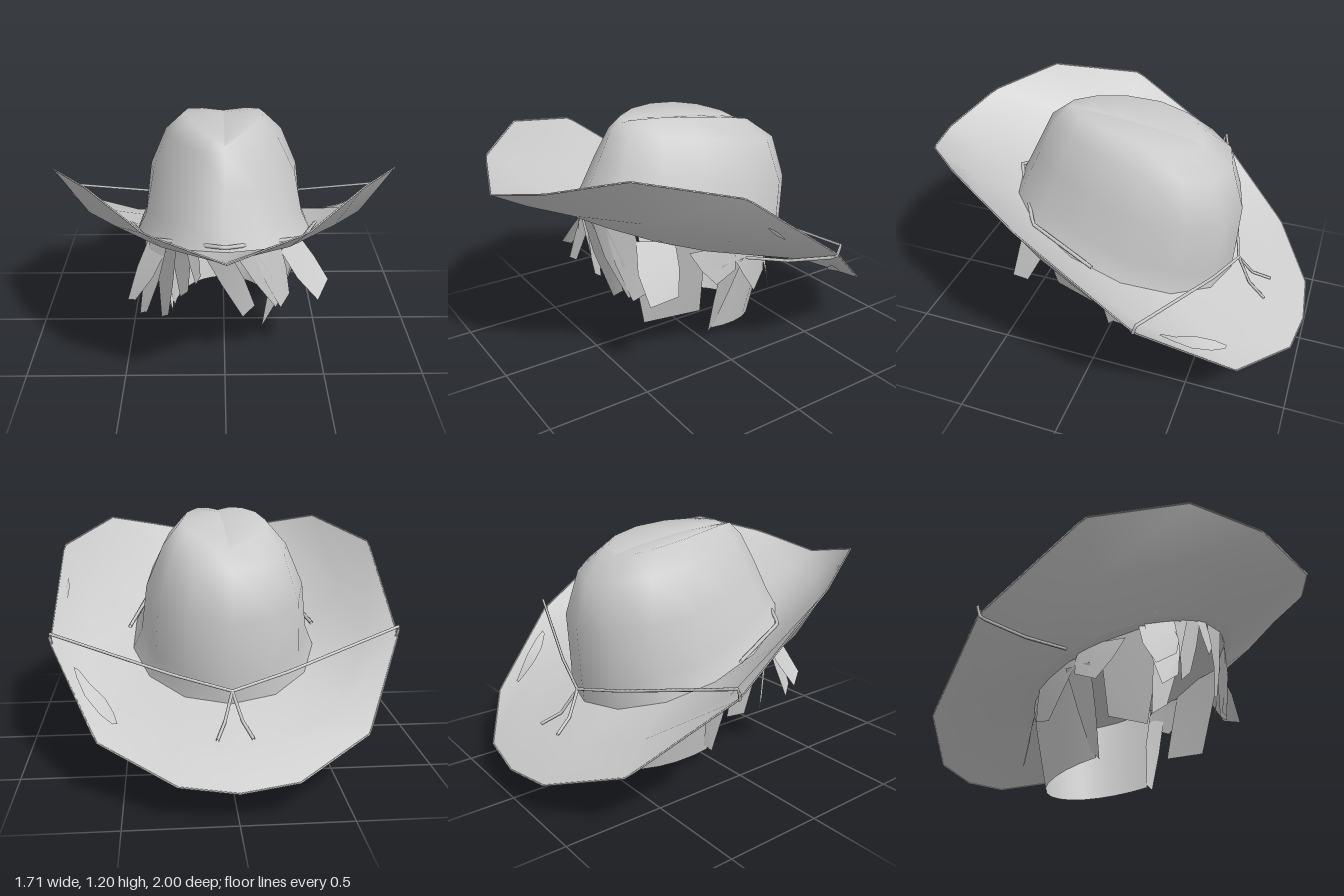
import * as THREE from 'three';

const mat = new THREE.MeshStandardMaterial({ color: 0xcccccc, side: THREE.DoubleSide });
const V = (p) => new THREE.Vector3(...p);
const lerp = THREE.MathUtils.lerp;
const rad = THREE.MathUtils.degToRad;
const SIDES = 14;

// Tilted egg section: half width, front and back z, front and back y, lift at the sides, front narrowing
function section([w, zFront, zBack, yFront, yBack, lift, egg], from = 0, to = 360, count = SIDES) {
  return Array.from({ length: count }, (_, i) => {
    const t = rad(lerp(from, to, i / SIDES)), k = (1 - Math.cos(t)) / 2;
    const x = w * Math.sin(t) * (1 - egg * Math.cos(t));
    return [x, lerp(yFront, yBack, k) + lift * Math.abs(Math.sin(t)), lerp(zFront, zBack, k)];
  });
}

// Smooth sheet through rows of points
function loft(name, rows, closed) {
  const n = rows[0].length, index = [];
  for (let r = 0; r < rows.length - 1; r++) {
    for (let i = 0; i < (closed ? n : n - 1); i++) {
      const a = r * n + i, b = r * n + (i + 1) % n;
      index.push(a, b, a + n, b, b + n, a + n);
    }
  }
  const g = new THREE.BufferGeometry();
  g.setAttribute('position', new THREE.Float32BufferAttribute(rows.flat(2), 3));
  g.setIndex(index);
  g.computeVertexNormals();
  const m = new THREE.Mesh(g, mat);
  m.name = name;
  return m;
}

// Straight-segmented cord
function cord(name, pts, radius) {
  const path = new THREE.CurvePath();
  for (let i = 0; i < pts.length - 1; i++) path.add(new THREE.LineCurve3(V(pts[i]), V(pts[i + 1])));
  const m = new THREE.Mesh(new THREE.TubeGeometry(path, pts.length * 8, radius, 5), mat);
  m.name = name;
  return m;
}

// Hair lock on an oval head: root angle, width in degrees, root y, tip angle, tip y, tip reach, tip width ratio
function lock(name, [a, width, y, tipA, tipY, reach, ratio], s) {
  const rows = [0, .5, 1].map((k) => [-.5, .5].map((side) => {
    const t = rad(lerp(a, tipA, k) + side * width * lerp(1, ratio, k * k));
    const r = lerp(1, reach, k);
    return [s * .42 * r * Math.sin(t), lerp(y, tipY, k) + side * .05 * k, .52 * r * Math.cos(t)];
  }));
  return loft(name, rows, false);
}

export function createModel() {
  const model = new THREE.Group();
  model.name = 'hatWithHair';
  const add = (...parts) => model.add(...parts);

  // Brim outline: front to back on one side, then mirrored
  const half = [[0, .94, .99], [.33, 1.02, .88], [.59, 1.10, .62], [.82, 1.01, .2],
    [.845, .63, -.34], [.61, .30, -.76], [.26, .18, -.97], [0, .155, -1]];
  const edge = [...half, ...half.slice(1, -1).reverse().map(([x, y, z]) => [-x, y, z])];

  // Brim: flat near the crown, curling up at the sides
  const base = section([.465, .57, -.59, .755, .395, 0, .06]);
  const middle = base.map(([x, y, z], i) => {
    const rise = .36 + .16 * Math.cos(i / SIDES * Math.PI * 2) ** 2;
    return [lerp(x, edge[i][0], .6), lerp(y, edge[i][1], rise), lerp(z, edge[i][2], .6)];
  });
  const brim = loft('brim', [edge, middle, base], true);
  add(brim, cord('brimEdge', [...edge, edge[0]], .004));

  // Crown, pinched at the front with a lengthwise dent, closed below by the lining
  const foot = section([.415, .52, -.60, .85, .51, 0, .1]);
  const wall = section([.38, .45, -.615, .99, .78, .01, .18]);
  const shoulder = section([.29, .38, -.55, 1.13, 1.00, .02, .28]);
  const top = section([.195, .32, -.40, 1.17, 1.09, .06, .35]);
  const dent = section([0, .32, -.40, 1.17, 1.09, .03, 0]);
  add(loft('crown', [base, foot, wall, shoulder, top, dent], true));
  add(loft('hatLining', [base, base.map(([, y, z]) => [0, y, z])], true));

  // Worn marks draped on both faces of the brim: start, end and half width
  const ray = new THREE.Raycaster();
  const drape = (x, z, lift) => {
    ray.set(new THREE.Vector3(x, 3, z), new THREE.Vector3(0, -1, 0));
    return [x, ray.intersectObject(brim)[0].point.y + lift, z];
  };
  const mark = (name, [x0, z0], [x1, z1], w) => {
    for (const lift of [.012, -.012]) {
      add(loft(name, [0, .2, .5, .8, 1].map((k) => {
        const x = lerp(x0, x1, k), z = lerp(z0, z1, k), d = w * (.25 + .75 * Math.sin(k * Math.PI));
        return [drape(x - d, z, lift), drape(x + d, z, lift)];
      }), false));
    }
  };
  mark('backMark', [.53, -.69], [.72, -.42], .045);
  mark('sideMark', [.79, .05], [.79, -.05], .006);

  // Cord: round the crown front, under the brim, over its edge and tied behind
  add(cord('frontCord', [[-.48, .61, 0], [-.375, .71, .35], [0, .785, .58], [.375, .71, .35], [.48, .61, 0]], .01));
  for (const s of [1, -1]) {
    add(cord('sideCord', [drape(s * .49, -.08, -.015), drape(s * .66, -.2, -.015), [s * .84, .62, -.33],
      [s * .85, .68, -.345], [s * .27, .53, -.55], [0, .47, -.625]], .008));
    add(cord('cordTail', [[0, .47, -.625], drape(s * .04, -.70, .015), drape(s * .08, -.79, .01)], .008));
  }

  // Back hair: open half tube behind the head
  add(loft('backHair', [
    [.38, .42, -.52, .69, .42, 0, 0],
    [.33, .38, -.50, .36, .28, 0, 0],
    [.275, .39, -.45, .135, .005, 0, 0],
  ].map((s) => section(s, 90, 270, SIDES + 1)), false));

  // Side and nape locks, mirrored
  for (const s of [1, -1]) {
    add(lock('templeLock', [82, 26, .60, 92, .43, 1, .5], s));
    add(lock('earLock', [112, 32, .54, 129, .29, .98, .6], s));
    add(lock('neckLock', [97, 16, .50, 95, .08, .68, .5], s));
    add(lock('napeLock', [145, 25, .38, 156, .13, 1.07, .4], s));
  }
  add(lock('cheekLock', [56, 44, .66, 58, .20, .77, 1], 1));
  add(lock('cheekLock', [66, 34, .66, 68, .22, .78, .8], -1));

  // Fringe across the forehead
  const fringe = [
    [-52, 20, .66, -53, .41, 1.36, .4], [-50, 18, .69, -50, .33, 1.25, .4],
    [-42, 18, .70, -50, .24, .95, .5], [-30, 14, .72, -31, .43, .92, .5],
    [-22, 8, .74, -17, .57, 1.03, .4], [-8, 18, .75, 19, .34, .87, .55],
    [10, 13, .75, 38, .40, 1.04, .5], [28, 20, .72, 42, .39, 1.06, .4],
    [50, 22, .67, 57, .44, 1.38, .5],
  ];
  fringe.forEach((f) => add(lock('fringeLock', f, 1)));

  return model;
}
